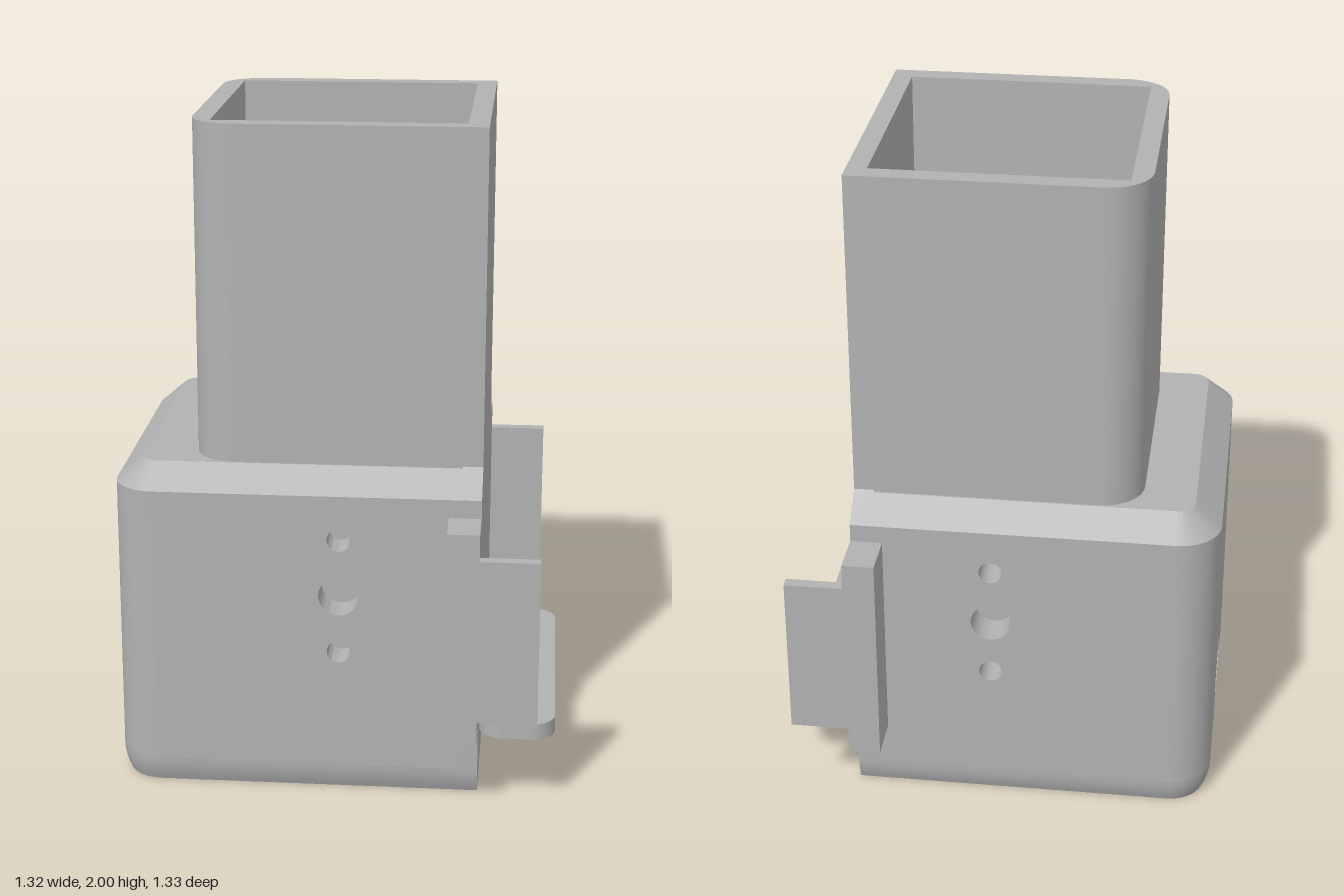
import * as THREE from 'three';
import { toCreasedNormals } from 'three/addons/utils/BufferGeometryUtils.js';

const FLAT = 0.43;            // flat mounting face on the +x side
const SEAM = 0.37;            // inner side of the mounting plate
const LEFT = -0.66, HALF = 0.525, R = 0.13; // housing plan
const IN_X = -0.51, IN_Z = 0.42;            // housing cavity
const Y0 = 0.08, Y1 = 0.93;                 // straight part of the housing

// Three-sided plan outline with two rounded corners, open at the mounting plate
function outline(left, w, r) {
  const s = new THREE.Shape();
  s.moveTo(SEAM, -w);
  s.lineTo(left + r, -w);
  s.absarc(left + r, -w + r, r, -Math.PI / 2, -Math.PI, true);
  s.absarc(left + r, w - r, r, Math.PI, Math.PI / 2, true);
  s.lineTo(SEAM, w);
  return s;
}

// The same outline with a rectangular inside, giving a U-shaped wall
function wallPlan(left, w, r, inX, inZ) {
  const s = outline(left, w, r);
  s.lineTo(SEAM, inZ);
  s.lineTo(inX, inZ);
  s.lineTo(inX, -inZ);
  s.lineTo(SEAM, -inZ);
  s.closePath();
  return s;
}

const insetOutline = (d) => outline(LEFT + d, HALF - d, R - d);
const insetPlan = (d, inX, inZ) => wallPlan(LEFT + d, HALF - d, R - d, inX, inZ);

function extrude(shape, depth) {
  const g = new THREE.ExtrudeGeometry(shape, { depth, bevelEnabled: false, curveSegments: 16 });
  return toCreasedNormals(g, 0.5);
}
const extrudeUp = (shape, y, h) => extrude(shape, h).rotateX(-Math.PI / 2).translate(0, y, 0);
const extrudeX = (shape, x, d) => extrude(shape, d).rotateY(Math.PI / 2).translate(x, 0, 0);

// Skin between inset outlines at several heights
function loft(levels) {
  const pos = [], idx = [];
  let n = 0;
  for (const [inset, y] of levels) {
    const pts = insetOutline(inset).getPoints(16);
    n = pts.length;
    for (const p of pts) pos.push(p.x, y, p.y);
  }
  for (let i = 0; i < levels.length - 1; i++) {
    for (let j = 0; j < n - 1; j++) {
      const a = i * n + j, d = a + n;
      idx.push(a, a + 1, d + 1, a, d + 1, d);
    }
  }
  const g = new THREE.BufferGeometry();
  g.setAttribute('position', new THREE.Float32BufferAttribute(pos, 3));
  g.setIndex(idx);
  return toCreasedNormals(g, 0.5);
}

function rect(x0, y0, x1, y1, r = 0, Type = THREE.Shape) {
  const s = new Type();
  if (!r) {
    s.moveTo(x0, y0); s.lineTo(x1, y0); s.lineTo(x1, y1); s.lineTo(x0, y1);
    s.closePath();
    return s;
  }
  s.absarc(x1 - r, y0 + r, r, -Math.PI / 2, 0, false);
  s.absarc(x1 - r, y1 - r, r, 0, Math.PI / 2, false);
  s.absarc(x0 + r, y1 - r, r, Math.PI / 2, Math.PI, false);
  s.absarc(x0 + r, y0 + r, r, Math.PI, Math.PI * 1.5, false);
  s.closePath();
  return s;
}

function circleHole(x, y, r) {
  const p = new THREE.Path();
  p.absarc(x, y, r, 0, Math.PI * 2, true);
  return p;
}

export function createModel() {
  const model = new THREE.Group();
  const grey = new THREE.MeshStandardMaterial({ color: 0xb2b2b2 });
  grey.name = 'grey plastic';
  const lining = new THREE.MeshStandardMaterial({ color: 0xb2b2b2, side: THREE.BackSide });
  lining.name = 'grey plastic lining';
  const add = (name, geometry, material = grey) => {
    const m = new THREE.Mesh(geometry, material);
    m.name = name;
    model.add(m);
    return m;
  };
  const box = (name, x0, x1, y0, y1, z0, z1) =>
    add(name, new THREE.BoxGeometry(x1 - x0, y1 - y0, z1 - z0)
      .translate((x0 + x1) / 2, (y0 + y1) / 2, (z0 + z1) / 2));

  // Full-height mounting plate with a slot near the bottom
  const fillet = [0, 0.25, 0.5, 0.75, 1].map((t) => [0.02 * (1 - t) ** 2, Y0 * t]);
  const side = fillet.map(([d, y]) => [HALF - d, y]);
  side.push([HALF, Y1], [0.445, 1], [0.44, 1.005], [0.44, 2]);
  const mirrored = side.map(([z, y]) => [-z, y]).reverse();
  const plate = new THREE.Shape([...side, ...mirrored].map(([z, y]) => new THREE.Vector2(z, y)));
  plate.holes.push(rect(-0.2, 0.045, 0.2, 0.1, 0, THREE.Path));
  add('mountingPlate', extrudeX(plate, SEAM, FLAT - SEAM));

  // Square tube rising from the housing
  add('tube', extrudeUp(wallPlan(-0.425, 0.44, R, -0.365, 0.38), 1, 1));

  // Housing top: shoulder slab and its chamfer
  add('shoulder', extrudeUp(insetPlan(0.08, -0.365, 0.38), Y1, 1 - Y1));
  add('shoulderChamfer', loft([[0, Y1], [0.08, 1]]));

  // Housing bottom: rim with two screw bores and a rounded lower edge
  const rim = insetPlan(0.02, IN_X, IN_Z);
  for (const z of [-0.27, 0.27]) rim.holes.push(circleHole(-0.595, z, 0.028));
  add('bottomRim', extrudeUp(rim, 0, Y0));
  add('bottomFillet', loft(fillet));

  // End wall with a rounded cable window
  const end = rect(-HALF + R, Y0, HALF - R, Y1);
  end.holes.push(rect(-0.14, 0.105, 0.14, 0.22, 0.045, THREE.Path));
  add('endWall', extrudeX(end, LEFT, IN_X - LEFT));

  for (const s of [1, -1]) {
    // Side wall with three round holes
    const wall = rect(LEFT + R, Y0, SEAM, Y1);
    for (const [y, r] of [[0.795, 0.035], [0.62, 0.06], [0.445, 0.035]]) {
      wall.holes.push(circleHole(0.013, y, r));
    }
    add('sideWall', extrude(wall, HALF - IN_Z).translate(0, 0, s > 0 ? IN_Z : -HALF));

    // Rounded vertical corner
    const cx = LEFT + R, cz = HALF - R;
    const corner = new THREE.Shape();
    corner.absarc(cx, s * cz, R, Math.PI, s * Math.PI / 2, s > 0);
    corner.lineTo(cx, s * IN_Z);
    corner.lineTo(IN_X, s * IN_Z);
    corner.lineTo(IN_X, s * cz);
    corner.closePath();
    add('roundedCorner', extrudeUp(corner, Y0, Y1 - Y0));

    // Bracket ear and the thin tab reaching past the plate
    const span = (a, b) => (s > 0 ? [a, b] : [-b, -a]);
    box('ear', 0.335, FLAT, 0.215, 0.875, ...span(0.52, 0.665));
    box('tab', FLAT, 0.605, 0.295, 0.795, ...span(0.63, 0.665));
  }

  // Rounded shelf on the mounting face
  add('shelf', extrudeUp(rect(FLAT, -0.465, 0.66, 0.465, 0.075), 0.155, 0.05));

  return model;
}
